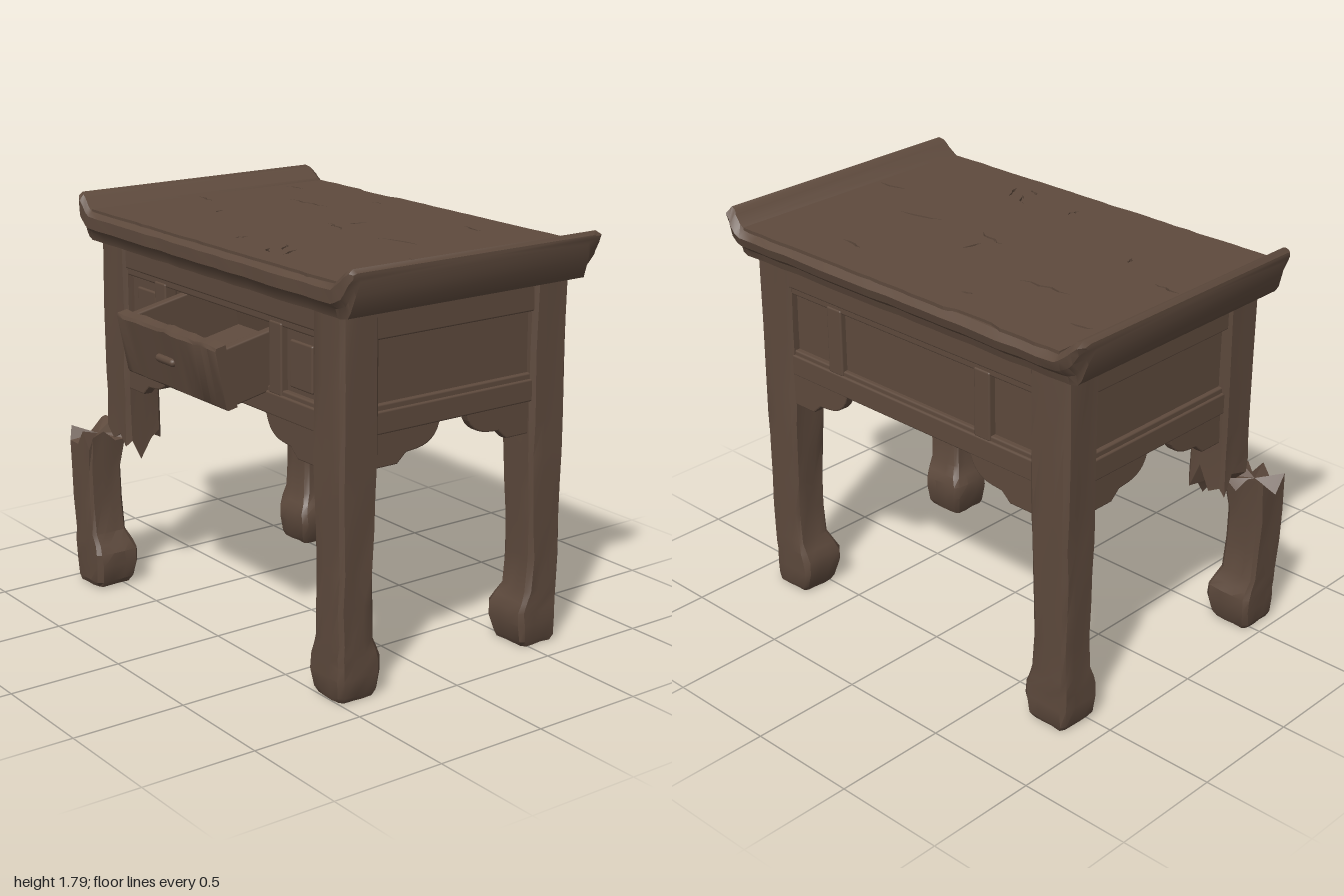
import * as THREE from 'three';
import { toCreasedNormals } from 'three/addons/utils/BufferGeometryUtils.js';
import { RoundedBoxGeometry } from 'three/addons/geometries/RoundedBoxGeometry.js';

const wood = new THREE.MeshStandardMaterial({ color: 0x5e4a3d });
wood.name = 'old brown wood';

let seed = 7;
const rnd = () => { seed = (seed * 16807) % 2147483647; return seed / 2147483647; };
const wear = (a) => (rnd() * 2 - 1) * a;

// Skin equal-length loops of points (counter-clockwise about the advance direction), with fan caps
function loft(loops, crease = 0.6) {
  const n = loops[0].length, pos = loops.flat(2), idx = [];
  for (let k = 0; k < loops.length - 1; k++) for (let i = 0; i < n; i++) {
    const j = (i + 1) % n, a = k * n + i, b = k * n + j;
    idx.push(a, b, b + n, a, b + n, a + n);
  }
  for (const k of [0, loops.length - 1]) {
    const c = pos.length / 3;
    for (let d = 0; d < 3; d++) pos.push(loops[k].reduce((s, p) => s + p[d], 0) / n);
    for (let i = 0; i < n; i++) {
      const a = k * n + i, b = k * n + (i + 1) % n;
      idx.push(...(k ? [a, b, c] : [b, a, c]));
    }
  }
  const g = new THREE.BufferGeometry();
  g.setAttribute('position', new THREE.Float32BufferAttribute(pos, 3));
  g.setIndex(idx);
  return toCreasedNormals(g, crease);
}

function add(parent, name, geometry) {
  const m = new THREE.Mesh(geometry, wood);
  m.name = name;
  parent.add(m);
  return m;
}

// Worn box given by its bounds
function block(parent, name, x0, x1, y0, y1, z0, z1, r = 0.008) {
  const m = add(parent, name, new RoundedBoxGeometry(x1 - x0, y1 - y0, z1 - z0, 2, r));
  m.position.set((x0 + x1) / 2, (y0 + y1) / 2, (z0 + z1) / 2);
  return m;
}

// Chamfered square ring, as fractions (u, v) of a leg's cross-section
const ring = [];
for (let s = 0; s < 4; s++) for (const t of [0.09, 0.36, 0.64, 0.91]) {
  ring.push([[t, 1], [1, 1 - t], [1 - t, 0], [0, t]][s]);
}

// Leg heights, widths and inset of the outer edges; the foot bulges inward
const legRows = [
  [0, 0.175, 0.015], [0.025, 0.2, 0.004], [0.1, 0.222, 0], [0.16, 0.222, 0], [0.2, 0.205, 0],
  [0.25, 0.18, 0.002], [0.4, 0.175, 0], [0.55, 0.178, 0], [0.7, 0.185, 0], [0.85, 0.19, 0],
  [1.0, 0.195, 0], [1.3, 0.197, 0], [1.59, 0.197, 0]];

function legLoop(sx, sz, [y, w, inset], jag) {
  const ox = sx * (0.885 - inset), oz = sz > 0 ? 0.507 - inset : -0.657 + inset;
  const x0 = sx > 0 ? ox - w : ox, z0 = sz > 0 ? oz - w * 0.95 : oz;
  return ring.map(([u, v]) => {
    const x = x0 + u * w, z = z0 + v * w * 0.95;
    return [x + wear(0.004), y + (jag ? jag(u, v) : 0), z + wear(0.004)];
  });
}

// Stepped and curved bracket outline, a = leg edge, s = direction away from it
function bracket(a, s) {
  const shape = new THREE.Shape();
  const p = (d, y) => [a + s * d, y];
  shape.moveTo(...p(-0.03, 1.11));
  shape.lineTo(...p(-0.03, 0.955));
  shape.lineTo(...p(0.11, 0.955));
  shape.lineTo(...p(0.155, 0.995));
  shape.lineTo(...p(0.21, 1.0));
  shape.quadraticCurveTo(...p(0.3, 1.01), ...p(0.32, 1.085));
  shape.lineTo(...p(0.34, 1.11));
  return new THREE.ExtrudeGeometry(shape, {
    depth: 0.035, bevelSize: 0.006, bevelThickness: 0.006, bevelSegments: 2, curveSegments: 6 });
}

function buildTop(g) {
  // Slab with moulded edges and upturned ends: x, underside, upper side, corner inset
  const end = [[1, 1.745, 1.78, 0.04], [0.985, 1.69, 1.795, 0.02], [0.962, 1.62, 1.787, 0.008],
    [0.945, 1.597, 1.772, 0.003], [0.91, 1.59, 1.74, 0], [0.885, 1.59, 1.722, 0]];
  const rows = end.map(([x, ...r]) => [-x, ...r]);
  for (let i = -8; i <= 8; i++) rows.push([i / 10, 1.59, 1.72, 0]);
  rows.push(...end.slice().reverse());
  const slab = rows.map(([x, b, t, c]) => {
    const h = t - b, f = 0.565 - c * 0.5 + wear(0.005), k = -0.74 + c + wear(0.006);
    return [[1, k + 0.035], [1, f - 0.02], [0.85, f], [0.45, f], [0.28, f - 0.025], [0, f - 0.035],
      [0, k + 0.065], [0.25, k + 0.055], [0.5, k + 0.012], [0.8, k]].map(([q, z]) => [x, b + q * h, z]);
  });
  add(g, 'tableTop', loft(slab));

  // Surface board with chipped edges and open cracks
  const board = new THREE.Shape();
  for (let i = 0; i <= 30; i++) {
    const x = -0.89 + i * 1.78 / 30;
    board[i ? 'lineTo' : 'moveTo'](x, -0.545 + Math.abs(wear(0.008)));
  }
  for (let i = 30; i >= 0; i--) {
    const x = -0.89 + i * 1.78 / 30, chip = Math.abs(x + 0.45) < 0.1 ? 0.015 : 0;
    board.lineTo(x, 0.715 - chip - Math.abs(wear(0.006)));
  }
  const cracks = [[-0.45, -0.31, 0.24, 0.1], [0.43, -0.52, 0.12, -0.1], [0.45, -0.11, 0.2, 0.25],
    [0.05, -0.09, 0.15, -0.25], [0.06, -0.2, 0.09, 1.4], [0.27, 0.33, 0.1, -0.8], [0.36, 0.37, 0.1, -1.1],
    [0.28, 0.42, 0.08, -0.7], [-0.81, 0, 0.13, 0], [0.8, 0.06, 0.14, 0.15], [-0.27, -0.56, 0.05, 0.2],
    [0, 0.36, 0.06, 1.4], [-0.52, 0.12, 0.05, -1.2], [-0.8, -0.49, 0.1, 0.1]];
  for (const [x, z, len, turn] of cracks) {
    const upper = [], lower = [];
    for (let i = 0; i <= 5; i++) {
      const t = (i / 5 - 0.5) * len, bend = wear(0.008), w = 0.001 + 0.006 * Math.sin(i / 5 * Math.PI);
      for (const [list, s] of [[upper, 1], [lower, -1]]) {
        const v = new THREE.Vector2(t, bend + s * w).rotateAround(new THREE.Vector2(), turn);
        list.push(v.add(new THREE.Vector2(x, -z)));
      }
    }
    board.holes.push(new THREE.Path([...upper, ...lower.reverse()]));
  }
  const geo = new THREE.ExtrudeGeometry(board, { depth: 0.015, bevelEnabled: false });
  add(g, 'topBoard', geo.rotateX(-Math.PI / 2).translate(0, 1.717, 0));
}

function buildLegs(g) {
  for (const [sx, sz, name] of [[1, 1, 'frontLeftLeg'], [1, -1, 'backLeftLeg'], [-1, -1, 'backRightLeg']]) {
    add(g, name, loft(legRows.map((r) => legLoop(sx, sz, r))));
  }
  // Snapped leg: splintered stub above, fallen-forward piece below
  const stub = [legLoop(-1, 1, [0.76, 0.19, 0], (u) => wear(0.08) - (u > 0.8 ? 0.1 : 0)),
    ...legRows.slice(9).map((r) => legLoop(-1, 1, [Math.max(r[0], 0.9), r[1], r[2]]))];
  add(g, 'brokenLegStub', loft(stub, 0.4));
  const piece = [...legRows.slice(0, 8).map((r) => legLoop(-1, 1, r)),
    legLoop(-1, 1, [0.68, 0.2, 0], (u) => wear(0.06) + (u < 0.5 ? 0.02 : 0))];
  const m = add(g, 'brokenLegPiece', loft(piece, 0.4));
  m.position.set(-0.075, -0.035, 0.14);
  m.rotation.z = 0.04;
  m.position.y = 0.036;
}

function buildFrame(g) {
  block(g, 'underside', -0.84, 0.84, 1.09, 1.115, -0.62, 0.47);
  for (const [side, z] of [['front', 0.47], ['back', -0.62]]) {
    const o = Math.sign(z), at = (name, x0, x1, y0, y1, d) =>
      block(g, side + name, x0, x1, y0, y1, z - 0.03, z + 0.03).translateZ(o * d);
    at('TopRail', -0.75, 0.75, 1.495, 1.6, -0.005);
    at('TopBead', -0.75, 0.75, 1.465, 1.505, -0.013);
    at('LowerRail', -0.75, 0.75, 1.09, 1.185, -0.005);
    at('LowerBead', -0.75, 0.75, 1.17, 1.205, -0.015);
    for (const s of [-1, 1]) {
      at('Post', s * 0.425 - 0.043, s * 0.425 + 0.043, 1.18, 1.48, -0.008);
      at('SidePanel', s * 0.58 - 0.14, s * 0.58 + 0.14, 1.15, 1.5, -0.04);
      if (o > 0) at('RaisedPanel', s * 0.57 - 0.075, s * 0.57 + 0.075, 1.225, 1.42, -0.03);
      add(g, side + 'Bracket', bracket(s * 0.69, -s)).position.z = z - 0.018;
    }
    if (o < 0) at('CentrePanel', -0.4, 0.4, 1.15, 1.5, -0.035);
  }
  for (const s of [-1, 1]) {
    const at = (name, y0, y1, out, z0 = -0.55, z1 = 0.4) =>
      block(g, name, s * out - 0.025, s * out + 0.025, y0, y1, z0, z1);
    at('sideTopRail', 1.47, 1.6, 0.848);
    at('sideLowerRail', 1.09, 1.185, 0.848);
    at('sideLowerBead', 1.17, 1.21, 0.838);
    at('sidePanel', 1.12, 1.5, 0.82);
    for (const [a, d] of [[0.325, -1], [-0.47, 1]]) {
      const m = add(g, 'sideBracket', bracket(a, d).rotateY(-Math.PI / 2));
      m.position.x = s * 0.835 + 0.0175;
    }
  }
}

function buildDrawer(g) {
  const d = new THREE.Group();
  d.name = 'drawer';
  // Face with a worn, wavy upper edge
  const face = [];
  for (let i = 0; i <= 14; i++) {
    const x = -0.372 + i * 0.744 / 14, t = 0.268 + wear(0.007), f = wear(0.004);
    face.push([[t, -0.055], [t, -0.01], [t - 0.012, f], [0.012, f], [0, -0.01], [0, -0.055]]
      .map(([y, z]) => [x, y, z]));
  }
  add(d, 'drawerFront', loft(face));
  block(d, 'drawerBottom', -0.36, 0.36, 0.01, 0.03, -0.56, -0.03);
  block(d, 'drawerBack', -0.36, 0.36, 0.01, 0.25, -0.58, -0.55);
  for (const s of [-1, 1]) block(d, 'drawerSide', s * 0.345 - 0.022, s * 0.345 + 0.022, 0.005, 0.25, -0.58, -0.03);
  const pull = add(d, 'drawerPull', new THREE.CapsuleGeometry(0.018, 0.1, 4, 10));
  pull.rotation.z = Math.PI / 2;
  pull.position.set(-0.02, 0.135, 0.002);
  d.position.set(0, 1.13, 0.69);
  d.rotation.x = 0.2;
  g.add(d);
}

export function createModel() {
  const g = new THREE.Group();
  g.name = 'brokenTable';
  buildTop(g);
  buildLegs(g);
  buildFrame(g);
  buildDrawer(g);
  return g;
}
